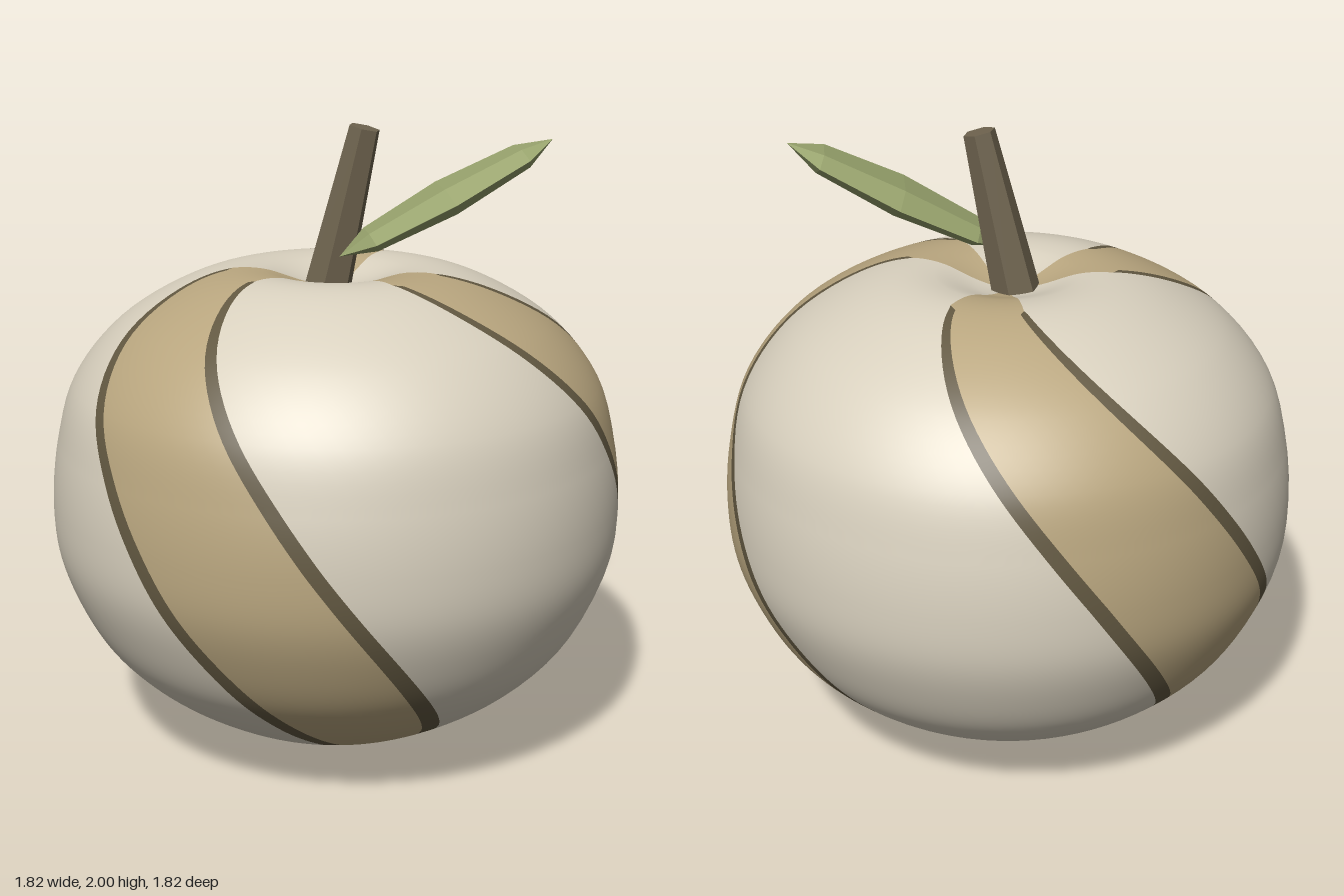
import * as THREE from 'three';

const mat = (name, color) => {
  const m = new THREE.MeshStandardMaterial({ color });
  m.name = name;
  return m;
};

// Body outline (radius, height) from the bottom pole to the top hollow
const outline = new THREE.CatmullRomCurve3([
  [0, 0], [0.17, 0.02], [0.35, 0.07], [0.5, 0.145], [0.65, 0.25], [0.77, 0.375],
  [0.85, 0.52], [0.9, 0.67], [0.91, 0.83], [0.89, 1.01], [0.835, 1.2], [0.7, 1.37],
  [0.5, 1.495], [0.345, 1.545], [0.23, 1.545], [0.1, 1.505], [0, 1.485],
].map(([r, y]) => new THREE.Vector3(r, y, 0)));

const ROWS = 96;
const rows = Array.from({ length: ROWS + 1 }, (_, j) => {
  const p = outline.getPoint(j / ROWS);
  const t = outline.getTangent(j / ROWS);
  const inHollow = j / ROWS > 0.82;
  // Polar angle in degrees drives the twist of the stripes
  const polar = inHollow ? 9
    : THREE.MathUtils.radToDeg(Math.acos(THREE.MathUtils.clamp((p.y - 0.78) / 0.78, -1, 1)));
  const low = Math.max(0, polar - 85) / 60;
  const outer = 20 + 2 * low;                       // half width with borders
  const border = inHollow ? 0 : 3.5 + 3 * low * low; // width of one border
  const pole = j === 0 || j === ROWS;
  return {
    r: pole ? 0 : Math.max(p.x, 0), y: p.y,
    nr: pole ? 0 : t.y, ny: pole ? (j ? 1 : -1) : -t.x,
    centre: -62.3 + 0.615 * polar, outer, inner: outer - border,
  };
});

// Strip of the body surface between two edges, given as angles per row
function bodyStrip(from, to, cols) {
  const pos = [], nor = [], idx = [];
  rows.forEach((row, j) => {
    for (let i = 0; i <= cols; i++) {
      const a = THREE.MathUtils.degToRad(THREE.MathUtils.lerp(from(row), to(row), i / cols));
      const s = Math.sin(a), c = Math.cos(a);
      pos.push(row.r * s, row.y, row.r * c);
      nor.push(row.nr * s, row.ny, row.nr * c);
      if (j < ROWS && i < cols) {
        const k = j * (cols + 1) + i, up = k + cols + 1;
        idx.push(k, k + 1, up + 1, k, up + 1, up);
      }
    }
  });
  const g = new THREE.BufferGeometry();
  g.setAttribute('position', new THREE.Float32BufferAttribute(pos, 3));
  g.setAttribute('normal', new THREE.Float32BufferAttribute(nor, 3));
  g.setIndex(idx);
  g.normalizeNormals();
  return g;
}

export function createModel() {
  const model = new THREE.Group();
  model.name = 'stripedFruit';
  const cream = mat('cream', 0xd8d0be);
  const tan = mat('tan', 0xb9a67f);
  const darkOlive = mat('dark olive', 0x625841);
  const bark = mat('bark', 0x6f644f);
  const leafGreen = mat('leaf green', 0x98a36d);
  bark.flatShading = leafGreen.flatShading = true;

  const add = (parent, name, geometry, material) => {
    const mesh = new THREE.Mesh(geometry, material);
    mesh.name = name;
    parent.add(mesh);
    return mesh;
  };

  // Body: three equal sectors, each a stripe, its two borders and plain skin
  const body = new THREE.Group();
  body.name = 'body';
  model.add(body);
  const stripe = bodyStrip(q => q.centre - q.inner, q => q.centre + q.inner, 8);
  const borderA = bodyStrip(q => q.centre - q.outer, q => q.centre - q.inner, 1);
  const borderB = bodyStrip(q => q.centre + q.inner, q => q.centre + q.outer, 1);
  const skin = bodyStrip(q => q.centre + q.outer, q => q.centre + 120 - q.outer, 16);
  for (let k = 0; k < 3; k++) {
    const sector = new THREE.Group();
    sector.name = 'sector' + (k + 1);
    sector.rotation.y = k * Math.PI * 2 / 3;
    add(sector, 'skin', skin, cream);
    add(sector, 'stripe', stripe, tan);
    add(sector, 'stripeBorderA', borderA, darkOlive);
    add(sector, 'stripeBorderB', borderB, darkOlive);
    body.add(sector);
  }

  // Stem: six-sided, tapered and leaning to the left
  const foot = new THREE.Vector3(-0.03, 1.47, 0);
  const top = new THREE.Vector3(0.09, 1.988, 0);
  const lean = top.clone().sub(foot);
  const stem = add(model, 'stem', new THREE.CylinderGeometry(0.05, 0.078, lean.length(), 6), bark);
  stem.position.copy(foot).add(top).multiplyScalar(0.5);
  stem.quaternion.setFromUnitVectors(new THREE.Vector3(0, 1, 0), lean.normalize());

  // Leaf: flattened low-poly lens, its poles at base and tip
  const base = new THREE.Vector3(0.03, 1.6, 0.09);
  const tip = new THREE.Vector3(0.655, 1.95, -0.14);
  const along = tip.clone().sub(base);
  const half = along.length() / 2;
  along.normalize();
  const across = new THREE.Vector3(-along.z, 0, along.x).normalize();
  const leafGeometry = new THREE.SphereGeometry(1, 6, 4);
  leafGeometry.scale(0.16, half, 0.05);
  const leaf = add(model, 'leaf', leafGeometry, leafGreen);
  leaf.quaternion.setFromRotationMatrix(
    new THREE.Matrix4().makeBasis(across, along, across.clone().cross(along)));
  leaf.position.copy(base).add(tip).multiplyScalar(0.5);

  return model;
}
